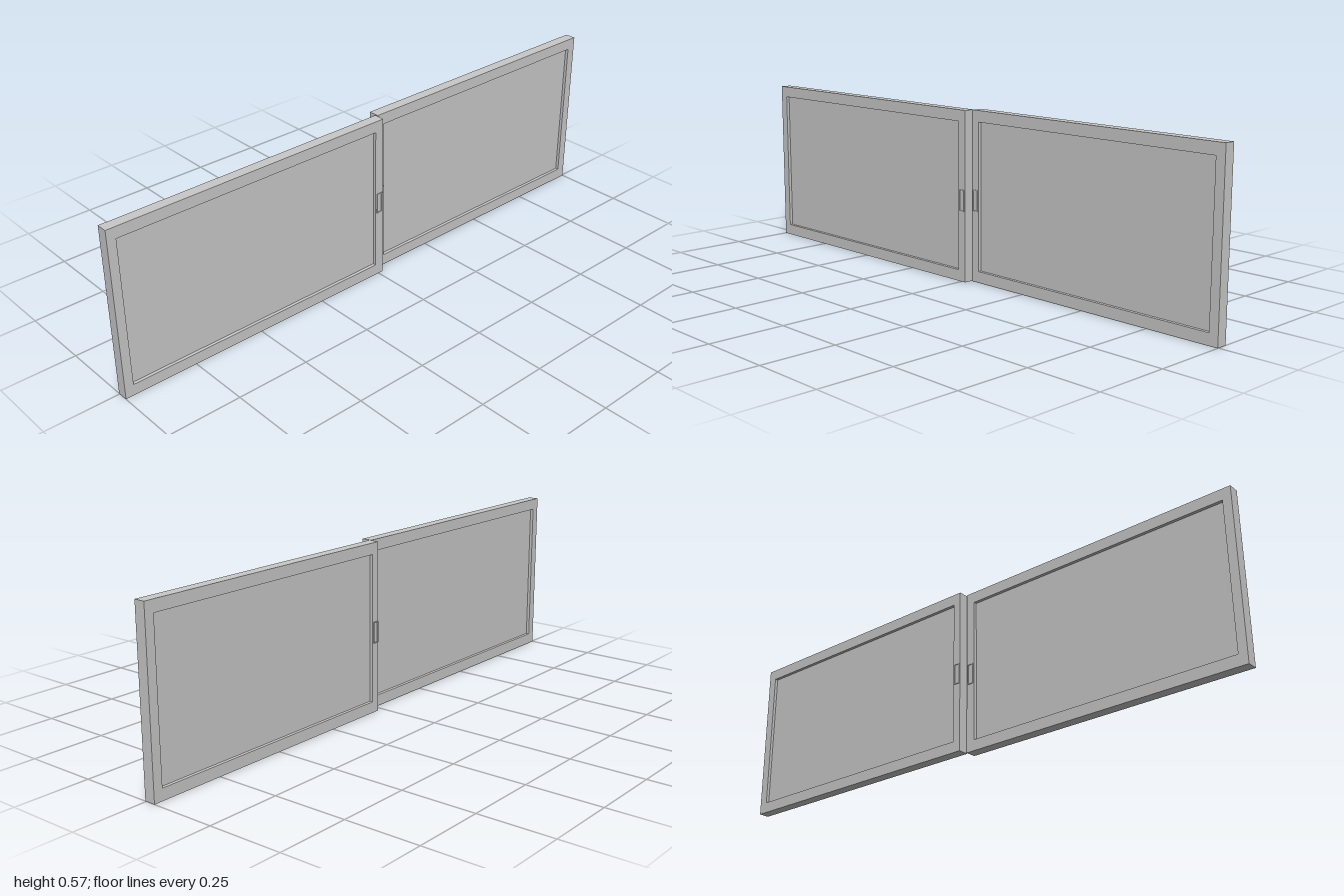
import * as THREE from 'three';

const HEIGHT = 0.573, DEPTH = 0.037;
const lightGrey = new THREE.MeshStandardMaterial({ color: 0xc8c8c8 });
lightGrey.name = 'lightGrey';

// Rectangular ring centred on z = 0: outer and inner are [x0, y0, x1, y1]
function ring(outer, inner, depth) {
  const corners = ([x0, y0, x1, y1]) => [[x0, y0], [x1, y0], [x1, y1], [x0, y1]].map(p => new THREE.Vector2(...p));
  const shape = new THREE.Shape(corners(outer));
  shape.holes.push(new THREE.Path(corners(inner).reverse()));
  return new THREE.ExtrudeGeometry(shape, { depth, bevelEnabled: false }).translate(0, 0, -depth / 2);
}

function addMesh(parent, name, geometry) {
  const mesh = new THREE.Mesh(geometry, lightGrey);
  mesh.name = name;
  parent.add(mesh);
  return mesh;
}

// One sliding sash: frame, recessed pane, and a shallow pull on each face
function sash(name, x0, x1, in0, in1, z, pullX) {
  const group = new THREE.Group();
  group.name = name;
  const y0 = 0.038, y1 = 0.535;
  addMesh(group, 'frame', ring([x0, 0, x1, HEIGHT], [in0, y0, in1, y1], DEPTH));
  addMesh(group, 'pane', new THREE.BoxGeometry(in1 - in0, y1 - y0, 0.015))
    .position.set((in0 + in1) / 2, (y0 + y1) / 2, 0);
  for (const side of [1, -1]) {
    const pull = addMesh(group, side > 0 ? 'frontPull' : 'backPull',
      ring([-0.011, -0.036, 0.011, 0.036], [-0.008, -0.033, 0.008, 0.033], 0.003));
    pull.position.set(pullX, 0.274, side * (DEPTH / 2 + 0.0015));
  }
  group.position.z = z;
  return group;
}

export function createModel() {
  const model = new THREE.Group();
  model.name = 'slidingWindow';
  model.add(
    sash('rightSash', -1, 0.018, -0.97, -0.014, 0.015, 0.002),
    sash('leftSash', 0.022, 1, 0.05, 0.969, -0.015, 0.035)
  );
  return model;
}
